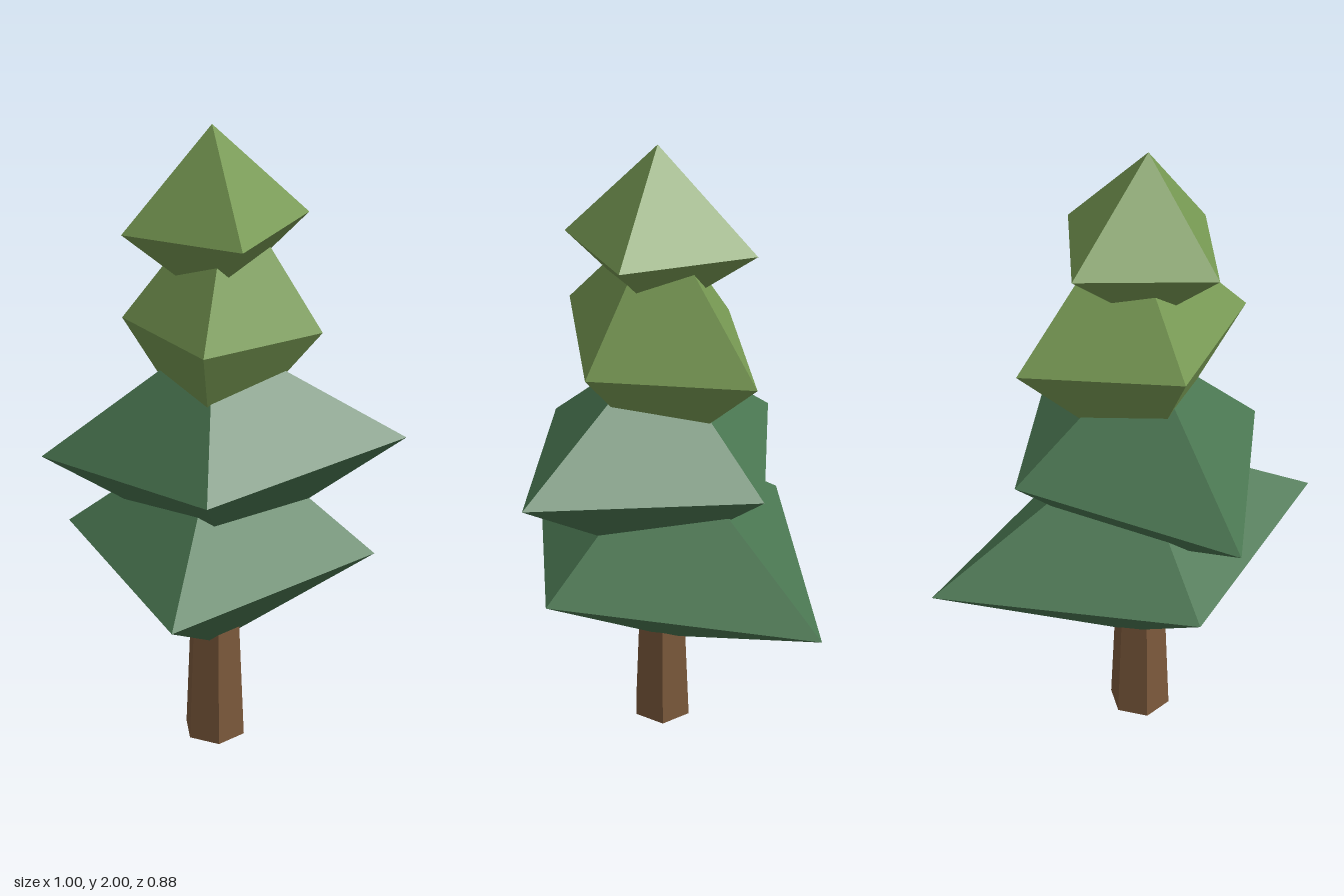
import * as THREE from 'three';

// Faceted double pyramid: four waist corners (counter-clockwise from above) joined to a top and a bottom tip
function doublePyramid(top, bottom, corners) {
  const pos = [];
  corners.forEach((a, i) => {
    const b = corners[(i + 1) % corners.length];
    pos.push(...top, ...a, ...b, ...bottom, ...b, ...a);
  });
  const geo = new THREE.BufferGeometry();
  geo.setAttribute('position', new THREE.Float32BufferAttribute(pos, 3));
  geo.computeVertexNormals();
  return geo;
}

export function createModel() {
  const tree = new THREE.Group();
  tree.name = 'tree';

  const material = (name, color) => {
    const m = new THREE.MeshStandardMaterial({ color, flatShading: true });
    m.name = name;
    return m;
  };
  const bark = material('bark brown', 0x7d5a3c);
  const darkGreen = material('dark green', 0x4a7651);
  const lightGreen = material('light green', 0x779953);

  // Six-sided tapering trunk, its top hidden in the lowest tier
  const trunk = new THREE.Mesh(new THREE.CylinderGeometry(0.08, 0.103, 0.5, 6, 1, false, Math.PI / 2), bark);
  trunk.name = 'trunk';
  trunk.position.set(-0.033, 0.25, 0.02);
  tree.add(trunk);

  // Foliage tiers, lowest first; corners run front left, front right, back right, back left
  const tiers = [
    {
      name: 'lowestFoliage', mat: darkGreen, top: [0, 1.08, 0], bottom: [-0.015, 0.31, 0],
      corners: [[-0.5, 0.71, 0.435], [0.32, 0.68, 0.375], [0.5, 0.68, -0.44], [-0.325, 0.7, -0.37]],
    },
    {
      name: 'lowerFoliage', mat: darkGreen, top: [-0.045, 1.39, 0.03], bottom: [0, 0.65, 0.03],
      corners: [[-0.32, 1.01, 0.36], [0.385, 1.07, 0.423], [0.275, 1.02, -0.277], [-0.432, 0.96, -0.342]],
    },
    {
      name: 'upperFoliage', mat: lightGreen, top: [0.02, 1.83, 0.025], bottom: [-0.045, 0.99, 0.02],
      corners: [[-0.285, 1.43, 0.3], [0.2, 1.39, 0.24], [0.265, 1.39, -0.246], [-0.22, 1.41, -0.19]],
    },
    {
      name: 'topFoliage', mat: lightGreen, top: [-0.047, 2, 0.028], bottom: [-0.045, 1.475, 0.03],
      corners: [[-0.15, 1.705, 0.3], [0.225, 1.73, 0.138], [0.09, 1.72, -0.25], [-0.285, 1.695, -0.087]],
    },
  ];
  for (const t of tiers) {
    const mesh = new THREE.Mesh(doublePyramid(t.top, t.bottom, t.corners), t.mat);
    mesh.name = t.name;
    tree.add(mesh);
  }
  return tree;
}
